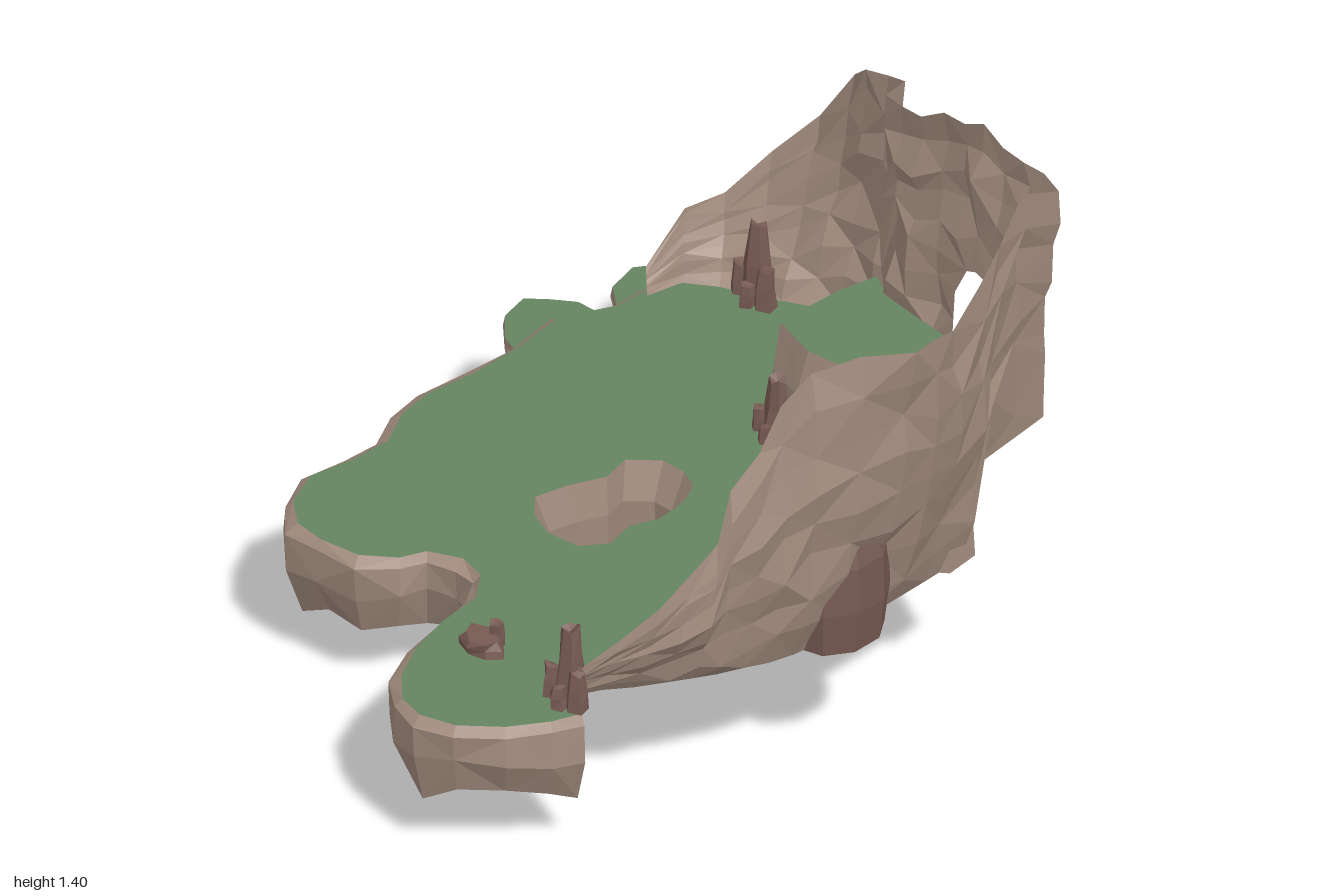
import * as THREE from 'three';

const ROCK = 0xa28c7e, GRASS = 0x65845f, STONE = 0x775a53;
const FLOOR = 0.42, LEDGE = 0.68, GAP = 0.66;
const mat = (color) => new THREE.MeshStandardMaterial({ color, flatShading: true, side: THREE.DoubleSide });
const rockMat = mat(ROCK), grassMat = mat(GRASS), stoneMat = mat(STONE);

// Repeatable noise in -1..1
const noise = (a, b = 0) => {
  const s = Math.sin(a * 127.1 + b * 311.7) * 43758.5453;
  return (s - Math.floor(s)) * 2 - 1;
};

function add(parent, name, geometry, material) {
  const mesh = new THREE.Mesh(geometry, material);
  mesh.name = name;
  parent.add(mesh);
  return mesh;
}

// Faceted surface through columns of points; skip(i, j) leaves a cell open
function sheet(cols, closed = false, skip = () => false) {
  const rows = cols[0].length, pos = cols.flat(2), index = [];
  const n = closed ? cols.length : cols.length - 1;
  for (let i = 0; i < n; i++) for (let j = 0; j < rows - 1; j++) {
    if (skip(i, j)) continue;
    const a = i * rows + j, b = ((i + 1) % cols.length) * rows + j;
    if ((i + j) % 2) index.push(a, b, a + 1, b, b + 1, a + 1);
    else index.push(a, b, b + 1, a, b + 1, a + 1);
  }
  const g = new THREE.BufferGeometry();
  g.setAttribute('position', new THREE.Float32BufferAttribute(pos, 3));
  g.setIndex(index);
  const flat = g.toNonIndexed();
  flat.computeVertexNormals();
  return flat;
}

// Horizontal patch of grass with an optional hole, from [x, z] points
function patch(points, y, hole) {
  const v = (p) => p.map(([x, z]) => new THREE.Vector2(x, -z));
  const shape = new THREE.Shape(v(points));
  if (hole) shape.holes.push(new THREE.Path(v(hole)));
  return new THREE.ShapeGeometry(shape).rotateX(-Math.PI / 2).translate(0, y, 0);
}

// Rock face hanging below an edge; profile rows are [outward offset, share of depth]
function skirt(edge, top, depth, profile) {
  return sheet(edge.map(([x, z], i) => {
    const p = edge[Math.max(i - 1, 0)], q = edge[Math.min(i + 1, edge.length - 1)];
    const dx = q[0] - p[0], dz = q[1] - p[1], l = Math.hypot(dx, dz);
    const nx = -dz / l, nz = dx / l;
    return profile.map(([out, d], j) => {
      const o = out + (j ? noise(i, j) * 0.01 : 0);
      const drop = d * (depth + noise(i, 9) * 0.035) + (j === 2 ? noise(i, 5) * 0.02 : 0);
      return [x + nx * o, top - drop, z + nz * o];
    });
  }));
}

// Irregular upright stone
function stone(parent, name, x, z, r, h, sides = 6, y = FLOOR, taper = 0.45) {
  const g = new THREE.CylinderGeometry(r * taper, r, h, sides, 2);
  const p = g.attributes.position;
  for (let i = 0; i < p.count; i++) {
    const a = Math.round(p.getX(i) * 999) + x * 50, b = Math.round(p.getZ(i) * 999) + p.getY(i) * 90;
    const k = 1 + noise(a, b) * 0.18;
    p.setXYZ(i, p.getX(i) * k, p.getY(i) + (p.getY(i) > 0.01 ? noise(b, a) * h * 0.08 : 0), p.getZ(i) * k);
  }
  g.computeVertexNormals();
  const m = add(parent, name, g, stoneMat);
  m.position.set(x, y + h / 2, z);
  return m;
}

export function createModel() {
  const root = new THREE.Group();
  root.name = 'cliffArena';

  // Outer edge of the floor, from the back left round to the front right
  const rim = [[-.68, -.77], [-.71, -.7], [-.73, -.6], [-.72, -.5], [-.77, -.35], [-.73, -.2], [-.71, -.05], [-.71, .1],
    [-.68, .2], [-.61, .3], [-.6, .42], [-.61, .54], [-.55, .64], [-.47, .69], [-.38, .69], [-.27, .66], [-.2, .59],
    [-.18, .52], [-.1, .47], [-.02, .48], [.05, .55], [.08, .68], [.13, .8], [.2, .9], [.28, .96], [.36, .97], [.45, .93],
    [.53, .84], [.58, .74], [.6, .66]];
  const frontOfLedge = [[.65, -.47], [.6, -.53], [.52, -.555], [.42, -.57], [.3, -.56], [.2, -.52], [.1, -.485], [.02, -.465],
    [-.06, -.48], [-.12, -.49], [-.13, -.6], [-.14, -.72], [-.13, -.83]];

  // Wall columns: base x, z, y; top x, z, y; bulge
  const leftWall = [[-.71, -.58, FLOOR, -.74, -.6, .48, 0], [-.7, -.68, FLOOR, -.74, -.72, .6, .01],
    [-.63, -.74, FLOOR, -.71, -.82, .62, .02], [-.56, -.78, FLOOR, -.64, -.91, .74, .02],
    [-.49, -.82, FLOOR, -.54, -.98, .87, .03], [-.43, -.86, FLOOR, -.43, -1, 1.04, .03],
    [-.36, -.91, FLOOR, -.35, -.97, 1.11, .02], [-.27, -.92, FLOOR, -.26, -.97, 1.14, .01],
    [-.18, -.91, FLOOR, -.17, -.95, 1.18, .01], [-.13, -.83, FLOOR, -.12, -.85, 1.21, 0]];
  const backWall = [[-.05, 1.22], [.03, 1.23], [.12, 1.29], [.2, 1.3], [.275, 1.34], [.35, 1.31],
    [.43, 1.31], [.51, 1.32]].map(([x, y]) => [x, -.8, GAP, x, -.84, y, 0]);
  const rightWall = [[.57, -.79, GAP, .58, -.83, 1.31, 0], [.6, -.67, GAP, .64, -.67, 1.4, 0],
    [.63, -.55, GAP, .69, -.56, 1.32, 0], [.65, -.47, FLOOR, .73, -.47, 1.27, .02], [.67, -.35, FLOOR, .8, -.33, 1.23, .03],
    [.69, -.22, FLOOR, .86, -.22, 1.28, .04], [.7, -.12, FLOOR, .91, -.13, 1.31, .03], [.72, 0, FLOOR, .84, -.01, 1.31, .05],
    [.72, .1, FLOOR, .79, .1, 1.28, .06], [.71, .17, FLOOR, .76, .17, 1.2, .06], [.69, .23, FLOOR, .75, .23, 1.08, .06],
    [.67, .3, FLOOR, .74, .31, 1.0, .06], [.65, .35, FLOOR, .74, .35, .86, .06], [.62, .42, FLOOR, .73, .42, .8, .05],
    [.59, .49, FLOOR, .7, .5, .71, .03], [.55, .56, FLOOR, .64, .57, .62, .02], [.53, .62, FLOOR, .58, .63, .54, .01],
    [.52, .67, FLOOR, .53, .67, .46, 0]];
  const wall = [...leftWall, ...backWall, ...rightWall];
  const win = leftWall.length + 3, ROWS = 8;

  const cols = wall.map(([bx, bz, by, tx, tz, ty, bulge], i) => {
    const l = Math.hypot(bx, bz), ridge = noise(i, 3) * 0.012;
    return Array.from({ length: ROWS + 1 }, (_, j) => {
      const t = j / ROWS, s = Math.sin(Math.PI * t);
      const atWindow = i >= win && i <= win + 2 && j <= 3;
      const k = j && !atWindow ? 1 : 0, amp = Math.min(1, (ty - by) * 2);
      const o = s * bulge + k * (j < ROWS ? (ridge + noise(i, j + 20) * 0.018) * amp : 0);
      // the window narrows towards its arched head
      const pinch = j === 3 ? (i === win ? 0.04 : i === win + 2 ? -0.03 : 0) : 0;
      return [bx + (tx - bx) * t + bx / l * o + pinch,
        by + (ty - by) * t + (k && j < ROWS ? noise(j, i) * 0.025 * amp : 0),
        bz + (tz - bz) * t + bz / l * o];
    });
  });
  add(root, 'cliffWall', sheet(cols, false, (i, j) => j < 3 && (i === win || i === win + 1)), rockMat);

  // Shaft through the floor
  const hole = [[-.06, -.18], [-.13, -.17], [-.19, -.1], [-.16, -.02], [-.19, .08], [-.2, .17], [-.14, .22], [-.06, .24],
    [.03, .22], [.07, .15], [.04, .07], [.06, -.01], [.04, -.1], [0, -.16]];
  const shaft = hole.map(([x, z], i) => [[FLOOR, 1], [.32, .82], [.2, .87], [.045, 1.05]].map(([y, s], j) =>
    [-.07 + (x + .07) * s + (j === 3 ? -.01 : 0), y + (j === 3 ? noise(i, 7) * .015 : 0), .03 + (z - .03) * s]));
  shaft[12][3] = [.05, 0, -.19];
  add(root, 'shaft', sheet(shaft, true), rockMat);

  // Main floor and the cliff below its open side
  const wallFoot = (list) => list.filter((c) => c[2] === FLOOR).map((c) => [c[0], c[1]]).reverse();
  add(root, 'floor', patch([...rim.slice(2), ...wallFoot(rightWall), ...frontOfLedge.slice(1),
    ...wallFoot(leftWall).slice(1, -1)], FLOOR, hole), grassMat);
  add(root, 'floorCliff', skirt(rim, FLOOR, .23, [[0, 0], [.025, .1], [.025, .5], [-.02, 1]]), rockMat);

  // Raised ledge with its sloping rock front
  const ledgeTop = frontOfLedge.map(([x, z], i) => [x, i && i < 10 ? z - .035 : z]);
  const ledgeBack = backWall.map((c) => [c[0], c[1]]);
  add(root, 'ledge', patch([...ledgeTop, ...ledgeBack, [.57, -.79], [.6, -.67], [.63, -.55]], LEDGE), grassMat);
  add(root, 'ledgeFront', sheet(frontOfLedge.map(([x, z], i) => [
    [x, FLOOR, z],
    [x + (i < 12 ? noise(i, 4) * .012 : 0), .56, (z + ledgeTop[i][1]) / 2 + (i < 10 ? .012 : 0)],
    [x, LEDGE, ledgeTop[i][1]]])), rockMat);

  // Two lower terraces on the outer side
  const terraces = [
    [[-.71, -.74], [-.77, -.735], [-.83, -.7], [-.855, -.65], [-.82, -.56], [-.72, -.5]],
    [[-.72, -.47], [-.82, -.455], [-.87, -.41], [-.915, -.36], [-.885, -.28], [-.81, -.22], [-.73, -.2]]];
  for (const edge of terraces) {
    add(root, 'terrace', patch(edge, .395), grassMat);
    add(root, 'terraceCliff', skirt(edge, .395, .19, [[0, 0], [0, .15], [-.015, .55], [-.04, 1]]), rockMat);
  }

  // Boulder plugging the side wall
  const plug = [[0, 0], [.125, 0], [.135, .12], [.125, .25], [.09, .325], [.05, .35], [0, .35]].map(([x, y]) => new THREE.Vector2(x, y));
  const boulder = add(root, 'doorBoulder', new THREE.LatheGeometry(plug, 9), stoneMat);
  boulder.scale.x = .75;
  boulder.rotation.z = -.06;
  boulder.position.set(.705, FLOOR, -.05);

  // Grass-topped steps against the ledge: x, z, width, depth, height
  for (const [x, z, w, d, h] of [[.24, -.53, .14, .1, .15], [.62, -.44, .09, .12, .22]]) {
    const step = new THREE.Group();
    step.name = 'ledgeStep';
    const body = add(step, 'stepRock', new THREE.CylinderGeometry(.62, .72, 1, 5), x > .5 ? rockMat : stoneMat);
    body.scale.set(w, h, d);
    body.position.y = h / 2;
    const top = add(step, 'stepGrass', new THREE.CylinderGeometry(.4, .62, 1, 5), grassMat);
    top.scale.set(w, .035, d);
    top.position.y = h + .0175;
    step.position.set(x, FLOOR, z);
    root.add(step);
  }

  // Clusters of standing stones: centre, spire radius, spire height
  for (const [x, z, r, h] of [[-.54, -.79, .045, .21], [-.05, -.46, .04, .16], [.53, .64, .045, .21]]) {
    const cluster = new THREE.Group();
    cluster.name = 'stoneCluster';
    stone(cluster, 'spire', x, z, r, h, 6, FLOOR, .5);
    stone(cluster, 'sideStone', x + .045, z + .015, r * .65, h * .5, 5, FLOOR, .7);
    stone(cluster, 'sideStone', x - .045, z + .02, r * .6, h * .4, 5, FLOOR, .7);
    stone(cluster, 'smallStone', x + .01, z + .045, r * .55, h * .28, 5, FLOOR, .7);
    root.add(cluster);
  }

  // Low stones near the front
  stone(root, 'lowStone', .23, .675, .045, .04, 7, FLOOR, .85).scale.x = 1.4;
  stone(root, 'lowStone', .24, .64, .022, .07, 5, FLOOR, .8);
  return root;
}
